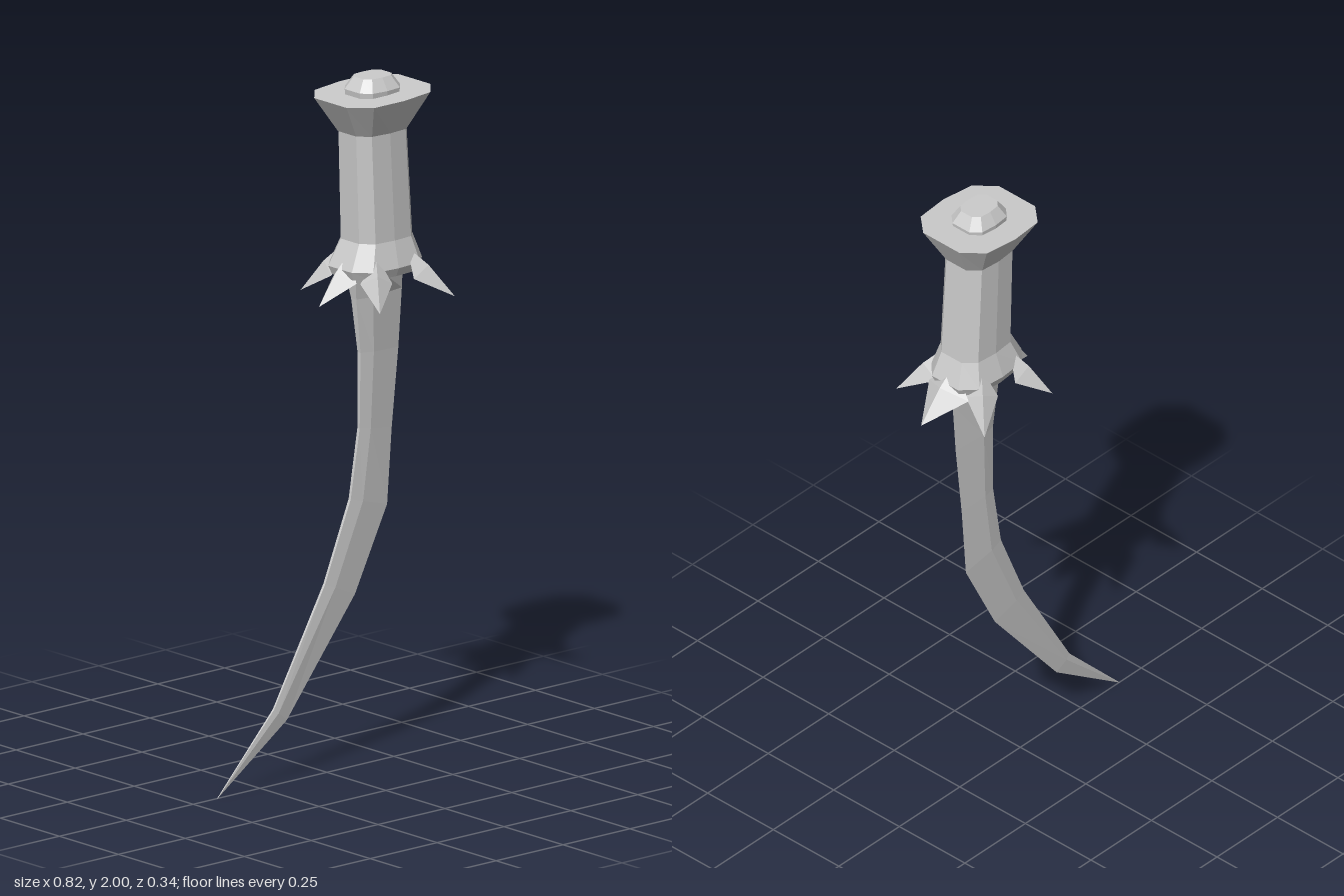
import * as THREE from 'three';

const CX = 0.17; // axis of the grip
const material = new THREE.MeshStandardMaterial({ color: 0xcccccc, flatShading: true });

// Ten-sided outline shared by grip, guard and pommel (unit size, x towards z)
const quarter = [[0.97, 0.5], [0.65, 0.92]];
const OUTLINE = [
  ...quarter, [0, 1], ...quarter.map(([x, z]) => [-x, z]).reverse(),
  ...quarter.map(([x, z]) => [-x, -z]), [0, -1], ...quarter.map(([x, z]) => [x, -z]).reverse(),
];

function meshFrom(name, triangles) {
  const geometry = new THREE.BufferGeometry().setFromPoints(triangles);
  geometry.computeVertexNormals();
  const mesh = new THREE.Mesh(geometry, material);
  mesh.name = name;
  return mesh;
}

// Skins a list of rings (bottom to top) and closes both ends
function loft(name, rings) {
  const tris = [];
  const n = rings[0].length;
  const centre = (ring) => ring.reduce((s, p) => s.add(p), new THREE.Vector3()).divideScalar(n);
  const first = rings[0], last = rings[rings.length - 1];
  const low = centre(first), high = centre(last);
  for (let i = 0; i < n; i++) {
    const j = (i + 1) % n;
    for (let r = 0; r < rings.length - 1; r++) {
      const a = rings[r], b = rings[r + 1];
      tris.push(a[i], b[i], b[j], a[i], b[j], a[j]);
    }
    tris.push(low, first[i], first[j], high, last[j], last[i]);
  }
  return meshFrom(name, tris);
}

// Ring of the shared outline; tilt raises the +x side
const ring = (y, rx, rz, cx = CX, tilt = 0) =>
  OUTLINE.map(([x, z]) => new THREE.Vector3(cx + x * rx, y + x * tilt, z * rz));

// Folded leaf spike pointing outwards and down from the guard
function spike(tipX, tipZ, halfWidth) {
  const dir = new THREE.Vector3(tipX - CX, 0, tipZ);
  const length = dir.length();
  dir.normalize();
  const side = new THREE.Vector3(-dir.z, 0, dir.x);
  const at = (out, y, s = 0) =>
    new THREE.Vector3(CX, y, 0).addScaledVector(dir, out * length).addScaledVector(side, s);
  const ridge = at(0.42, 1.5), shoulder = at(0.68, 1.45), tip = at(1, 1.36);
  const a = at(0.52, 1.42, -halfWidth), b = at(0.52, 1.42, halfWidth), under = at(0.58, 1.425);
  return meshFrom('guardSpike', [
    ridge, shoulder, a, shoulder, tip, a,
    ridge, b, shoulder, shoulder, b, tip,
    under, a, tip, under, tip, b,
    ridge, a, under, ridge, under, b,
  ]);
}

export function createModel() {
  const model = new THREE.Group();
  model.name = 'curvedDagger';

  // Blade stations: spine x, y, cutting edge x, y, half thickness
  const stations = [
    [-0.41, 0.0, -0.408, 0.0, 0.001],
    [-0.2, 0.22, -0.15, 0.18, 0.006],
    [-0.01, 0.55, 0.105, 0.5, 0.008],
    [0.085, 0.78, 0.225, 0.74, 0.009],
    [0.118, 0.98, 0.242, 0.96, 0.01],
    [0.12, 1.2, 0.267, 1.19, 0.013],
    [0.1, 1.36, 0.28, 1.36, 0.022],
    [0.085, 1.45, 0.285, 1.45, 0.05],
  ];
  model.add(loft('blade', stations.map(([lx, ly, rx, ry, t]) => {
    const p = (f, z) => new THREE.Vector3(lx + (rx - lx) * f, ly + (ry - ly) * f, z);
    return [p(1, 0), p(0.3, t), p(0, t * 0.5), p(0, -t * 0.5), p(0.3, -t)];
  })));

  // Grip, flaring into the guard
  model.add(loft('grip', [ring(1.53, 0.102, 0.078, 0.185), ring(1.85, 0.097, 0.075)]));
  const guard = new THREE.Group();
  guard.name = 'guard';
  guard.add(loft('guardCollar', [
    ring(1.43, 0.125, 0.09, 0.18), ring(1.455, 0.135, 0.1, 0.18), ring(1.53, 0.102, 0.078, 0.185),
  ]));
  guard.add(spike(-0.03, 0, 0.05), spike(0.41, 0, 0.075));
  for (const z of [-0.168, 0.168]) {
    guard.add(spike(0.05, z, 0.045), spike(0.33, z, 0.045));
  }
  model.add(guard);

  // Flared pommel with a small knob on top
  model.add(loft('pommel', [ring(1.845, 0.098, 0.077), ring(1.952, 0.162, 0.137, CX, 0.006)]));
  model.add(loft('pommelKnob', [
    ring(1.94, 0.075, 0.062), ring(1.965, 0.078, 0.064), ring(2.0, 0.054, 0.042),
  ]));
  return model;
}
